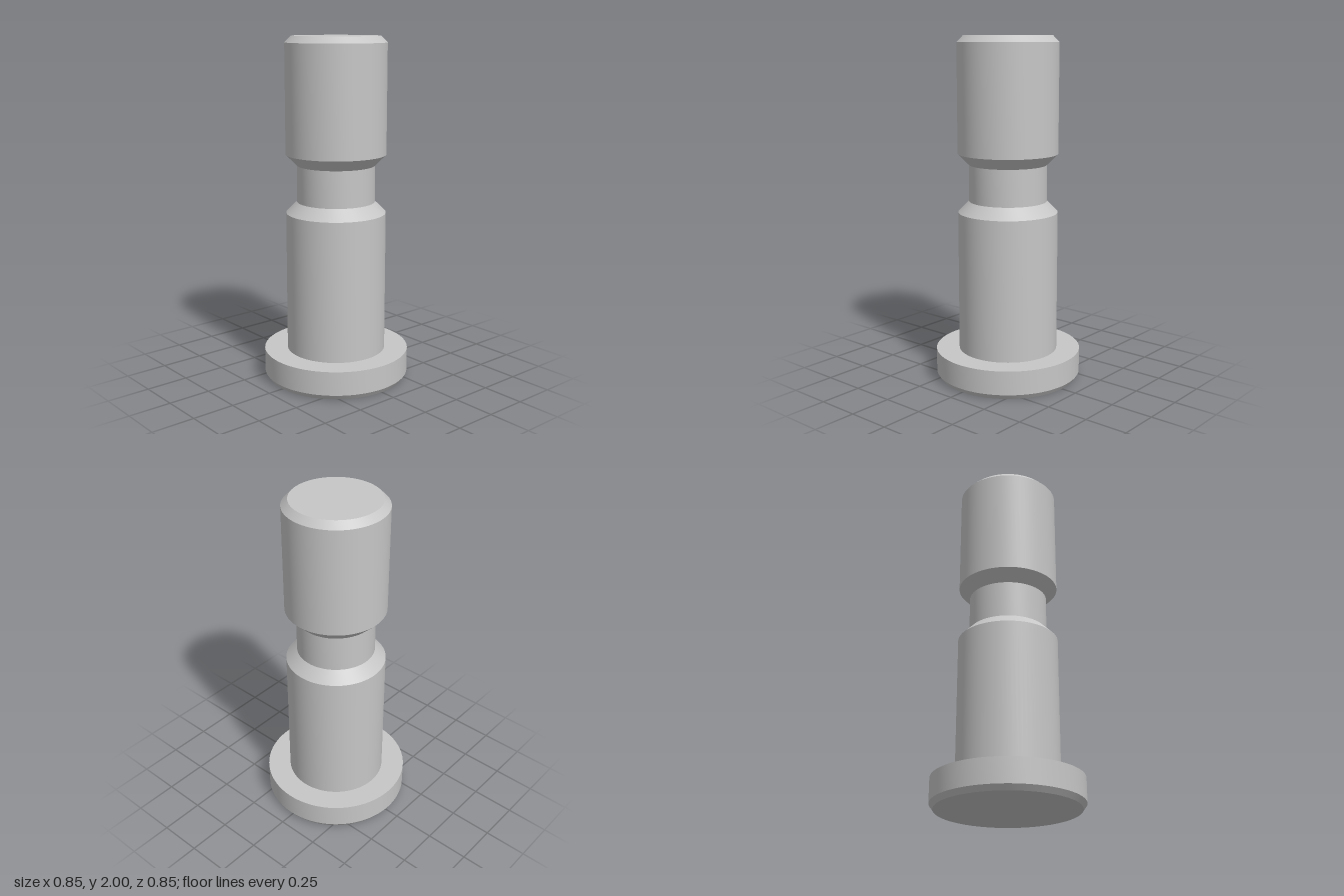
import * as THREE from 'three';
import { toCreasedNormals } from 'three/addons/utils/BufferGeometryUtils.js';

const SEGMENTS = 72;

export function createModel() {
  const group = new THREE.Group();
  group.name = 'groovedPin';
  const steel = new THREE.MeshStandardMaterial({ color: 0xc6c6c6 });
  steel.name = 'light grey steel';

  // Turned part from [radius, height] points, bottom to top, with crisp edges
  const turn = (name, profile) => {
    const points = profile.map(([r, y]) => new THREE.Vector2(r, y));
    const geometry = toCreasedNormals(new THREE.LatheGeometry(points, SEGMENTS), 0.3);
    const mesh = new THREE.Mesh(geometry, steel);
    mesh.name = name;
    group.add(mesh);
  };

  // Wide flange with a chamfered underside
  turn('headFlange', [[0, 0], [0.405, 0], [0.426, 0.03], [0.426, 0.17], [0.29, 0.17]]);
  // Main shank, tapering into the groove
  turn('lowerShank', [[0.29, 0.17], [0.29, 0.992], [0.226, 1.056]]);
  // Narrow neck of the groove
  turn('grooveNeck', [[0.226, 1.056], [0.226, 1.269]]);
  // Upper shank with a tapered bottom and chamfered tip
  turn('upperShank', [[0.226, 1.269], [0.29, 1.333], [0.29, 1.963], [0.253, 2], [0, 2]]);

  return group;
}
